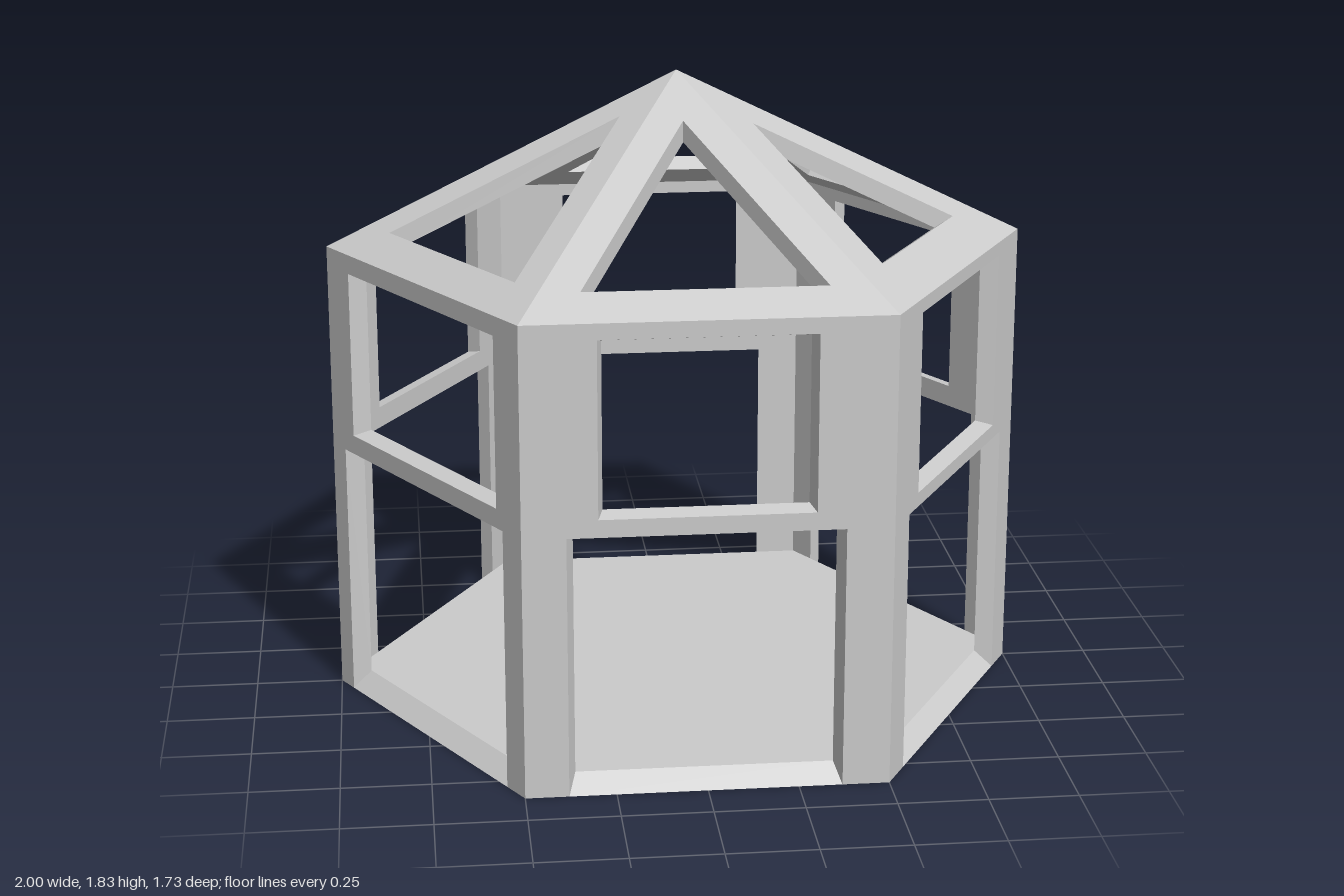
import * as THREE from 'three';
import { mergeGeometries } from 'three/addons/utils/BufferGeometryUtils.js';

const T = 0.05;                         // shell thickness
const APO = Math.sqrt(3) / 2;           // outer apothem of the hexagon
const APO_IN = APO - T, HALF_IN = APO_IN / Math.sqrt(3);
const EAVE = 1.335, APEX = 1.825;
const SLOPE = (APEX - EAVE) / APO;
const DROP = T * Math.sqrt(1 + SLOPE * SLOPE);   // vertical thickness of the roof

// Six sides, counted from the front round towards +x.
// door: [left, right]; win: [left, right, bottom, top]; roof: [base radius, half width, tip radius]
const SIDES = [
  { door: [-0.38, 0.37], win: [-0.295, 0.29, 0.795, 1.29], roof: [0.765, 0.33, 0.19] },
  { door: [-0.39, 0.395], win: [-0.32, 0.327, 0.785, 1.295], roof: [0.737, 0.288, 0.2375] },
  { door: [-0.40, 0.40], win: [-0.29, 0.297, 0.795, 1.285], roof: [0.748, 0.305, 0.22] },
  { door: [-0.37, 0.37], win: [-0.29, 0.29, 0.795, 1.285], roof: [0.745, 0.293, 0.235] },
  { door: [-0.39, 0.39], win: [-0.33, 0.33, 0.795, 1.285], roof: [0.76, 0.323, 0.197] },
  { door: [-0.43, 0.41], win: [-0.38, 0.38, 0.80, 1.28], roof: [0.76, 0.325, 0.195] },
];
const DOOR_TOP = 0.745;

const toV2 = (pts) => pts.map(([x, y]) => new THREE.Vector2(x, y));
const rect = (l, r, b, t) => [[l, b], [r, b], [r, t], [l, t]];

// Flat sheet with a hole, placed in space by map(u, v)
function sheet(outline, hole, map, flip) {
  const shape = new THREE.Shape(toV2(outline));
  shape.holes.push(new THREE.Path(toV2(hole)));
  const geo = new THREE.ShapeGeometry(shape);
  const p = geo.attributes.position;
  for (let i = 0; i < p.count; i++) p.setXYZ(i, ...map(p.getX(i), p.getY(i)));
  if (flip) geo.setIndex(Array.from(geo.index.array).reverse());
  const flat = geo.toNonIndexed();
  flat.deleteAttribute('uv');
  flat.computeVertexNormals();
  return flat;
}

// Faces lining an opening, from the outer loop to the inner loop
function reveal(outer, inner, mapOut, mapIn) {
  const pos = [];
  outer.forEach((pt, i) => {
    const j = (i + 1) % outer.length;
    const a = mapOut(...pt), b = mapOut(...outer[j]);
    const c = mapIn(...inner[j]), d = mapIn(...inner[i]);
    pos.push(...a, ...b, ...c, ...a, ...c, ...d);
  });
  const geo = new THREE.BufferGeometry();
  geo.setAttribute('position', new THREE.Float32BufferAttribute(pos, 3));
  geo.computeVertexNormals();
  return geo;
}

// Wall outline with the doorway notched out of its foot
const wallOutline = (half, foot, top, [l, r]) => [
  [-half, foot], [l, foot], [l, DOOR_TOP], [r, DOOR_TOP], [r, foot],
  [half, foot], [half, top], [-half, top],
];

function wallGeometry({ door, win }) {
  const out = (u, v) => [u, v, APO], inn = (u, v) => [u, v, APO_IN];
  const doorIn = [door[0] + 0.02, door[1] - 0.02];
  const winOut = rect(...win);
  const winIn = rect(win[0] + 0.015, win[1] - 0.015, win[2] + 0.012, win[3] - 0.015);
  const topIn = EAVE + T * SLOPE - DROP;
  return mergeGeometries([
    sheet(wallOutline(0.5, 0, EAVE, door), winOut, out, false),
    sheet(wallOutline(HALF_IN, T, topIn, doorIn), winIn, inn, true),
    reveal(winOut, winIn, out, inn),
    reveal(rect(...door, 0, DOOR_TOP), rect(...doorIn, T, DOOR_TOP), out, inn),
  ]);
}

function roofGeometry({ roof: [d, w, a] }) {
  // v is minus the distance from the central axis
  const out = (u, v) => [u, APEX + v * SLOPE, -v];
  const inn = (u, v) => [u, APEX - DROP + v * SLOPE, -v];
  const tri = (base, half, tip) => [[-half, -base], [half, -base], [0, -tip]];
  const holeOut = tri(d, w, a);
  const holeIn = tri(d - 0.045, w * (d - a - 0.049) / (d - a), a + 0.004);
  return mergeGeometries([
    sheet(tri(APO, 0.5, 0), holeOut, out, false),
    sheet(tri(APO_IN, HALF_IN, 0), holeIn, inn, true),
    reveal(holeOut, holeIn, out, inn),
  ]);
}

export function createModel() {
  const model = new THREE.Group();
  model.name = 'hexagonalPavilion';
  const material = new THREE.MeshStandardMaterial({ color: 0xcccccc, flatShading: true });
  const add = (name, geo, turn = 0) => {
    const mesh = new THREE.Mesh(geo, material);
    mesh.name = name;
    mesh.rotation.y = turn;
    model.add(mesh);
  };

  // Walls and roof panels
  SIDES.forEach((side, i) => {
    add('wall', wallGeometry(side), i * Math.PI / 3);
    add('roofPanel', roofGeometry(side), i * Math.PI / 3);
  });

  // Floor and underside
  add('floor', new THREE.CircleGeometry(APO_IN / APO, 6).rotateX(-Math.PI / 2).translate(0, T, 0));
  add('underside', new THREE.CircleGeometry(1, 6).rotateX(Math.PI / 2));
  return model;
}
